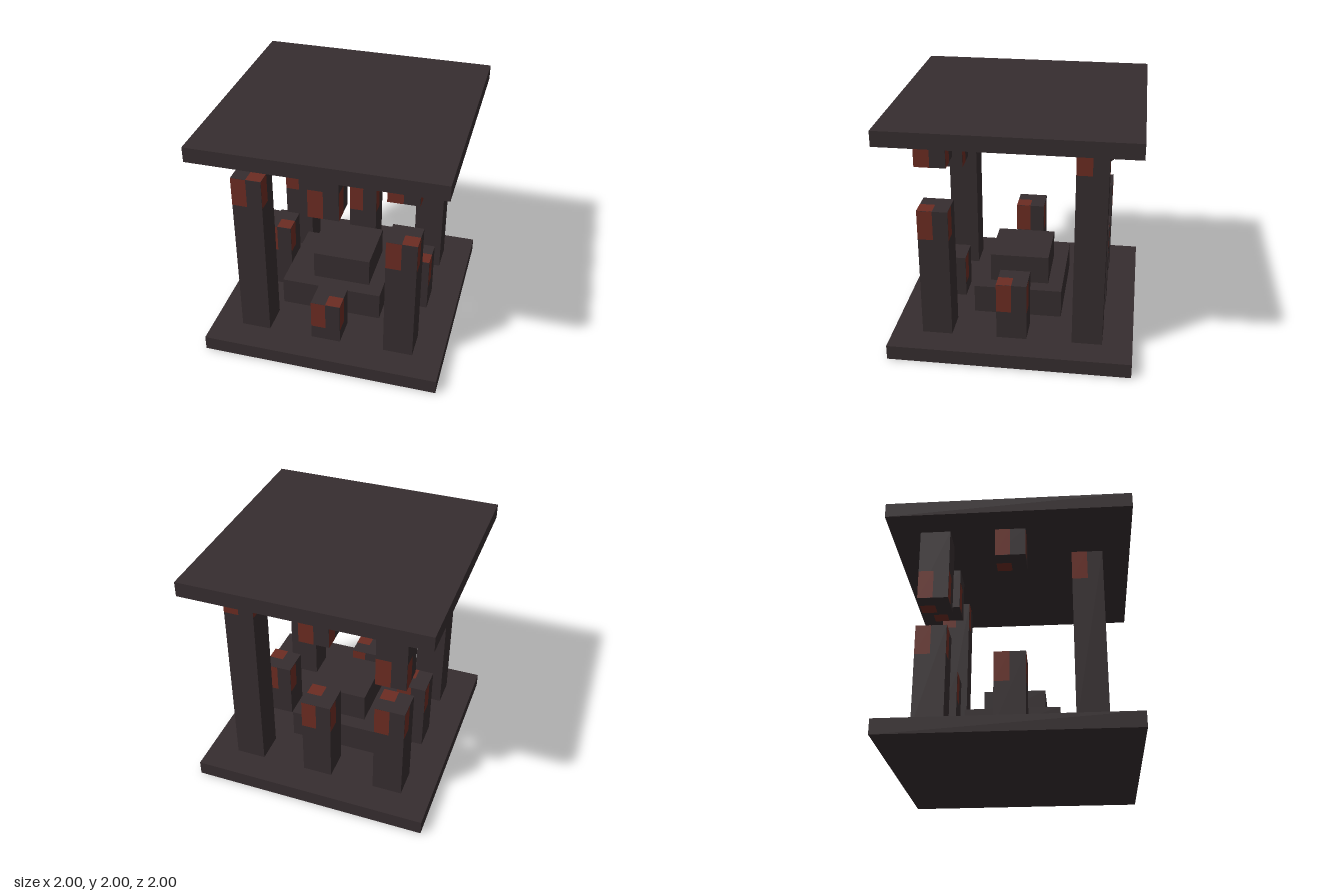
import * as THREE from 'three';

export function createModel() {
  const model = new THREE.Group();
  const stone = new THREE.MeshStandardMaterial({ color: 0x362d2f });
  stone.name = 'dark stone';
  const ember = new THREE.MeshStandardMaterial({ color: 0x6c2c22 });
  ember.name = 'ember red';

  const W = 0.25, H = W / 2, Q = W / 4; // post width, half, quarter
  const LOW = 0.125, HIGH = 1.875;      // inner faces of the two slabs
  const LIFT = 0.002;                   // paint offset from the stone

  // Box given by its minimum and maximum corners
  function block(name, min, max, parent = model) {
    const size = max.map((v, i) => v - min[i]);
    const mesh = new THREE.Mesh(new THREE.BoxGeometry(...size), stone);
    mesh.position.set(...max.map((v, i) => (v + min[i]) / 2));
    mesh.name = name;
    parent.add(mesh);
  }

  // Square post with a painted end; dir is 1 for standing, -1 for hanging
  function post(name, x, z, end, dir) {
    const group = new THREE.Group();
    group.name = name;
    group.position.set(x, 0, z);
    const root = dir > 0 ? LOW : HIGH;
    block('shaft', [-H, Math.min(root, end), -H], [H, Math.max(root, end), H], group);

    // Left half of every side, next to the end
    for (let i = 0; i < 4; i++) {
      const side = new THREE.Group();
      side.rotation.y = i * Math.PI / 2;
      const stripe = new THREE.Mesh(new THREE.PlaneGeometry(H, W), ember);
      stripe.name = 'sideMark';
      stripe.position.set(-Q, end - dir * H, H + LIFT);
      side.add(stripe);
      group.add(side);
    }

    // One quarter of the exposed end
    if (end < HIGH) {
      const mark = new THREE.Mesh(new THREE.PlaneGeometry(H, H), ember);
      mark.name = 'endMark';
      mark.rotation.x = -dir * Math.PI / 2;
      mark.position.set(Q, end + dir * LIFT, dir * Q);
      group.add(mark);
    }
    model.add(group);
  }

  // Slabs and the stepped pedestal between them
  block('baseSlab', [-1, 0, -1], [1, LOW, 1]);
  block('topSlab', [-1, HIGH, -1], [1, 2, 1]);
  block('lowerStep', [-0.5, LOW, -0.375], [0.375, 0.375, 0.375]);
  block('upperStep', [-0.25, 0.375, -0.25], [0.25, 0.625, 0.25]);

  // Posts in a ring: grid x, grid z, top of standing post, bottom of hanging post
  const R = 0.625;
  const ring = [
    [-1, 1, 1.625, null], [0, 1, 0.5, 1.375], [1, 1, 1.25, 1.625],
    [-1, 0, 0.75, 1.625], [1, 0, 0.625, null],
    [-1, -1, 1.0, 1.25], [0, -1, 0.875, 1.5], [1, -1, HIGH, null],
  ];
  for (const [i, k, top, bottom] of ring) {
    post('standingPost', i * R, k * R, top, 1);
    if (bottom !== null) post('hangingPost', i * R, k * R, bottom, -1);
  }
  return model;
}
